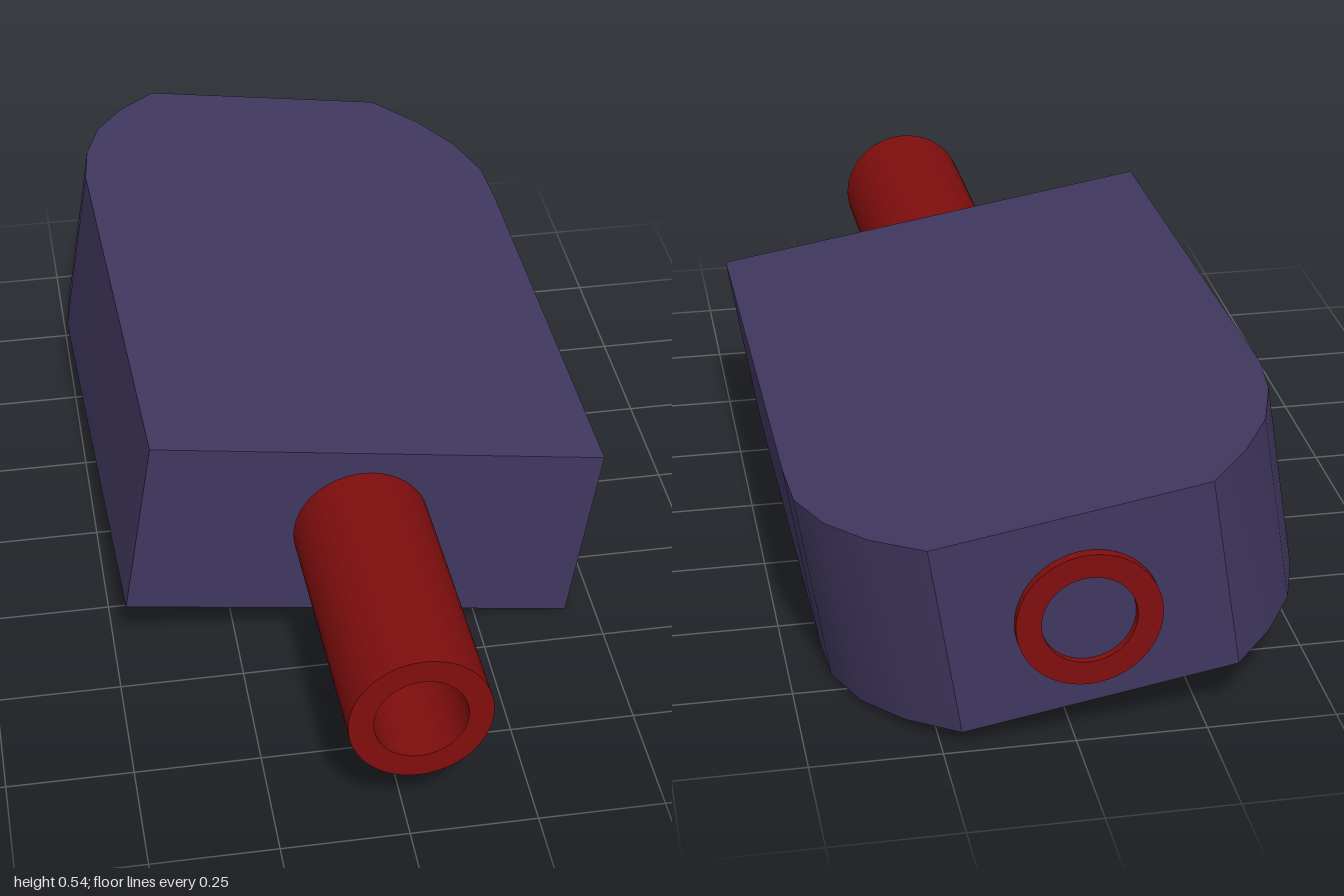
import * as THREE from 'three';
import { toCreasedNormals } from 'three/addons/utils/BufferGeometryUtils.js';

const purple = new THREE.MeshStandardMaterial({ color: 0x40375f });
purple.name = 'dark purple';
const red = new THREE.MeshStandardMaterial({ color: 0x800e0e });
red.name = 'dark red';

// Head block: slightly skewed outline (x, z) with rounded rear corners, rolled to one side
function makeBlock() {
  const height = 0.395;
  const outline = [
    [-0.45, 0.425], [0.477, 0.409],
    [0.463, -0.58], [0.456, -0.7], [0.413, -0.81], [0.343, -0.905], [0.247, -0.99],
    [-0.285, -0.975], [-0.367, -0.89], [-0.43, -0.795], [-0.466, -0.685], [-0.479, -0.58],
  ].map(([x, z]) => new THREE.Vector2(x, z));
  let geometry = new THREE.ExtrudeGeometry(new THREE.Shape(outline), { depth: height, bevelEnabled: false });
  geometry.rotateX(Math.PI / 2).translate(0, height / 2, 0);
  geometry = toCreasedNormals(geometry, 0.5);
  const block = new THREE.Mesh(geometry, purple);
  block.name = 'headBlock';
  block.rotation.z = -0.157;
  block.position.y = 0.272;
  return block;
}

// Hollow handle running through the block, its rear rim just showing at the back
function makeHandle() {
  const front = new THREE.Vector3(0.0165, 0.293, 0.998);
  const back = new THREE.Vector3(-0.022, 0.259, -0.998);
  const outer = 0.138, inner = 0.09;
  const half = front.distanceTo(back) / 2;
  const profile = [[outer, -half], [outer, half], [inner, half], [inner, -half], [outer, -half]]
    .map(([r, y]) => new THREE.Vector2(r, y));
  const geometry = toCreasedNormals(new THREE.LatheGeometry(profile, 48), 0.5);
  const handle = new THREE.Mesh(geometry, red);
  handle.name = 'handleTube';
  handle.position.copy(front).add(back).multiplyScalar(0.5);
  handle.quaternion.setFromUnitVectors(new THREE.Vector3(0, 1, 0), front.clone().sub(back).normalize());
  return handle;
}

export function createModel() {
  const model = new THREE.Group();
  model.name = 'mallet';
  model.add(makeBlock(), makeHandle());
  return model;
}
